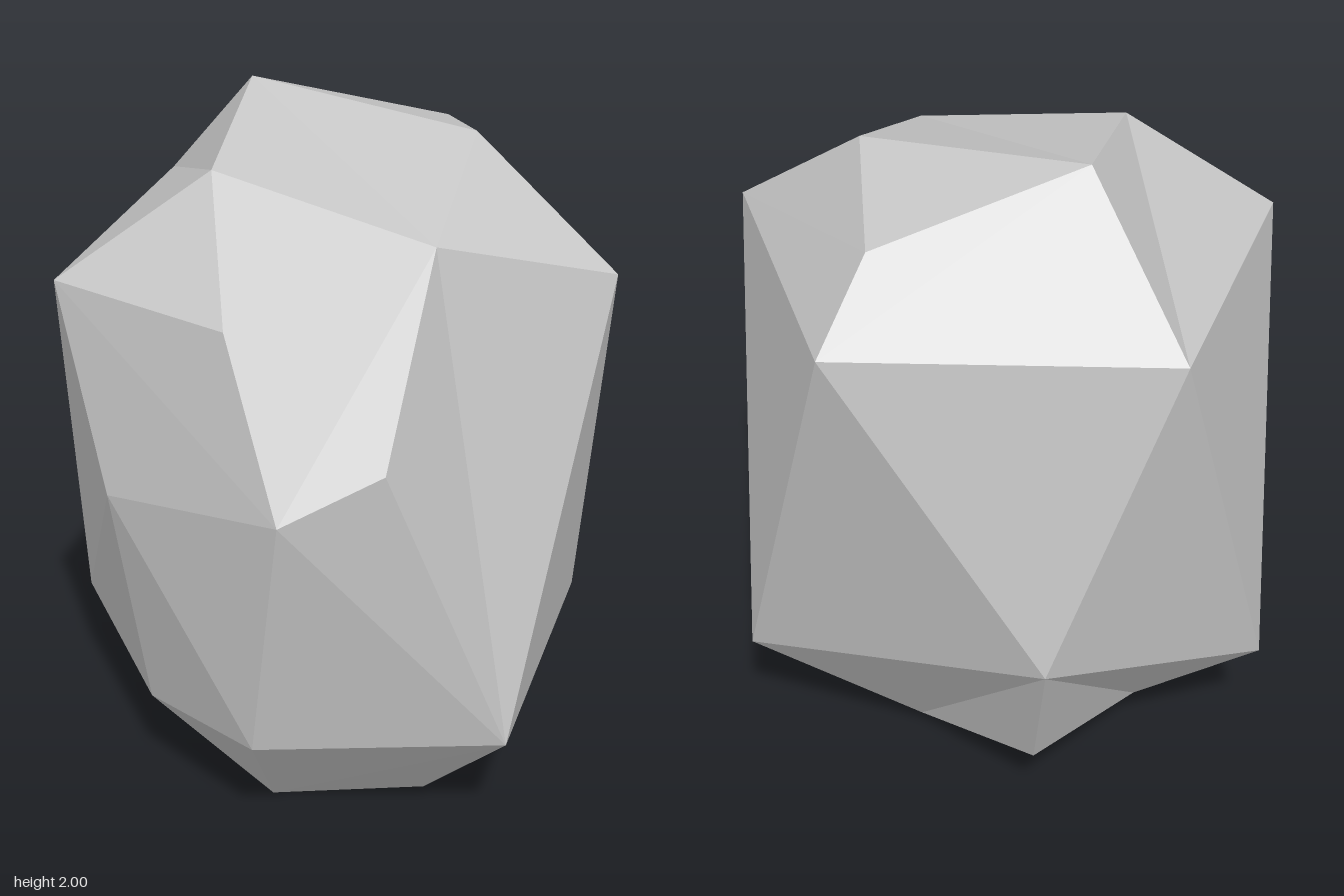
import * as THREE from 'three';

// Corner points of the boulder, in rings from top to bottom
const corners = {
  // crown
  A: [-0.38, 2.0, 0], B: [0.22, 1.93, -0.33], C: [-0.02, 1.9, 0.385],
  D: [0.515, 1.77, 0.05], E: [-0.18, 1.83, -0.56],
  // shoulder
  F: [-0.81, 1.61, 0], G: [-0.24, 1.605, 0.755], H: [0.325, 1.605, 0.59],
  I: [0.655, 1.615, -0.47], J: [-0.25, 1.61, -0.76],
  // waist
  K: [0.695, 1.27, 0.35], L: [0.56, 1.14, 0.597], M: [-0.01, 1.05, 0.758], S: [-0.69, 0.68, -0.35],
  // hip
  N: [0.805, 0.37, 0], O: [0.245, 0.37, -0.757], P: [0.39, 0.36, 0.57],
  Q: [-0.09, 0.3, 0.595], R: [-0.65, 0.375, 0.46],
  // foot
  U: [0.175, 0, 0.35], V: [0.45, 0.03, 0], W: [0, 0.05, -0.32],
  X: [-0.35, 0.11, 0.23], Y: [-0.49, 0.2, -0.245],
};

// Facets as loops of corners, each fanned from its first corner
const facets = [
  'FACG', 'CGHD', 'ACDB', 'BDI', 'ABE', 'AEJF', 'EBIJ', // top
  'FGR', 'MGRQ', 'GMLH', 'MQP', 'MPL', // front
  'LKDH', 'DKNI', 'LPNK', // +x side
  'JIO', 'INO', 'JSO', 'FSJ', 'FRS', // back and -x side
  'NPUV', 'NVWO', 'PQU', 'QRXU', 'SOWY', 'SRXY', 'XYW', 'XWVU', // underside
];

// Flat triangles, each turned to face away from the middle of the stone
function facetedGeometry() {
  const middle = new THREE.Vector3(0, 1, 0);
  const points = [];
  for (const loop of facets) {
    const p = [...loop].map((name) => new THREE.Vector3(...corners[name]));
    for (let i = 1; i < p.length - 1; i++) {
      const [a, b, c] = [p[0], p[i], p[i + 1]];
      const normal = new THREE.Triangle(a, b, c).getNormal(new THREE.Vector3());
      const outward = normal.dot(a.clone().sub(middle)) > 0;
      points.push(a, ...(outward ? [b, c] : [c, b]));
    }
  }
  const geometry = new THREE.BufferGeometry().setFromPoints(points);
  geometry.computeVertexNormals();
  return geometry;
}

export function createModel() {
  const stone = new THREE.MeshStandardMaterial({ color: 0xc6c6c6 });
  stone.name = 'pale stone grey';

  const boulder = new THREE.Mesh(facetedGeometry(), stone);
  boulder.name = 'boulder';

  const group = new THREE.Group();
  group.name = 'rock';
  group.add(boulder);
  return group;
}
